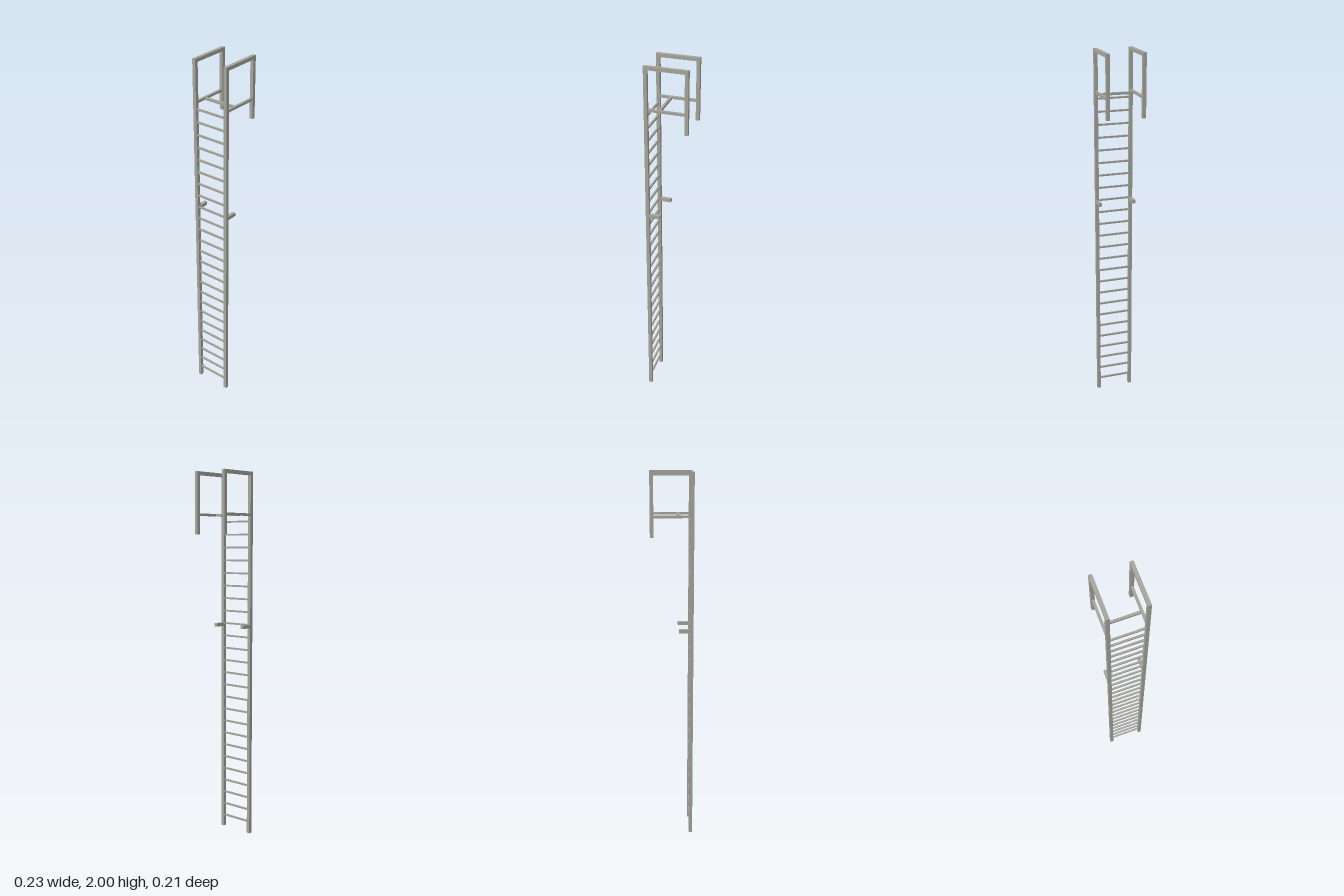
import * as THREE from 'three';

export function createModel() {
  const group = new THREE.Group();
  const metal = new THREE.MeshStandardMaterial({ color: 0xa5a59c });
  metal.name = 'grey metal';

  // Box given by its minimum and maximum along each axis
  const bar = (name, [x0, x1], [y0, y1], [z0, z1]) => {
    const mesh = new THREE.Mesh(new THREE.BoxGeometry(x1 - x0, y1 - y0, z1 - z0), metal);
    mesh.position.set((x0 + x1) / 2, (y0 + y1) / 2, (z0 + z1) / 2);
    mesh.name = name;
    group.add(mesh);
  };
  const around = (c, size) => [c - size / 2, c + size / 2];

  const T = 0.0185; // rail thickness
  const X = 0.114; // outer x of rails
  const Z = 0.105; // outer z of rails
  const inner = Z - T;
  const thin = 0.013; // brace thickness
  const braceY = 1.775;

  // Side frames: rail, handrail loop, brace and wall bracket
  for (const s of [-1, 1]) {
    const zc = s * (Z - T / 2);
    const z = around(zc, T);
    bar('rail', [-X, -X + T], [0, 2 - T], z);
    bar('handrailTop', [-X, X], [2 - T, 2], z);
    bar('handrailLeg', [X - T, X], [1.67, 2 - T], z);
    bar('handrailBrace', [-X + T, X - T], around(braceY, thin), around(zc, thin));
    bar('wallBracket', [-X + T, -0.038], around(1.175, T), z);
  }

  // Evenly spaced rungs
  for (let i = 0; i < 25; i++) {
    bar('rung', around(-X + T / 2, 0.0095), around(0.065 + i * 0.0698, 0.0095), [-inner, inner]);
  }

  // Landing bar between the two handrail braces
  bar('landingBar', around(-0.036, thin), around(braceY, thin), [-inner, inner]);

  return group;
}
